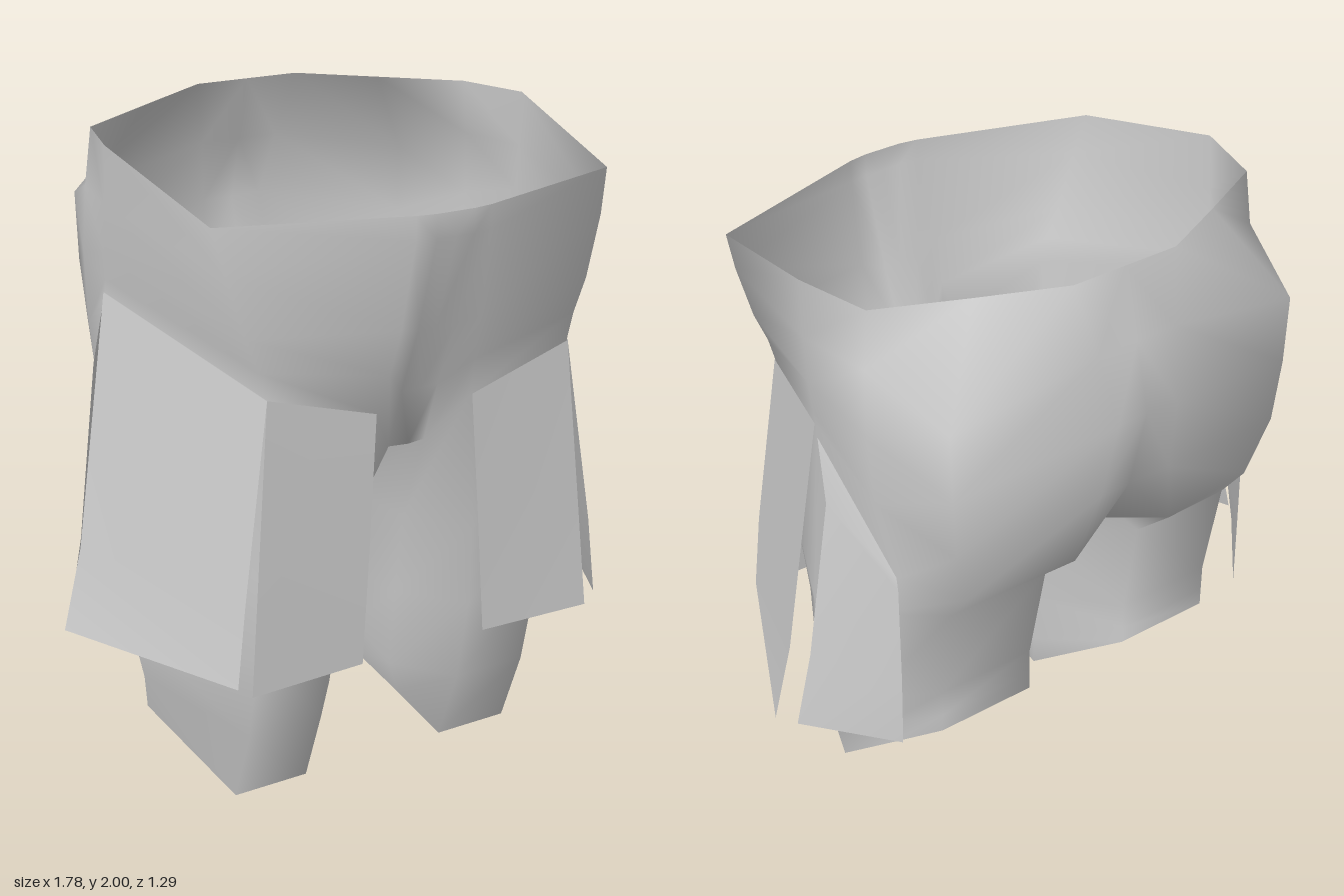
import * as THREE from 'three';
import { mergeVertices } from 'three/addons/utils/BufferGeometryUtils.js';

// Skin a list of rows (each a list of points) with outward-facing quads
function skin(rows, closed = false) {
  const tris = [];
  for (let r = 0; r < rows.length - 1; r++) {
    const n = rows[r].length;
    for (let c = 0; c < (closed ? n : n - 1); c++) {
      const a = rows[r][c], b = rows[r][(c + 1) % n];
      const d = rows[r + 1][c], e = rows[r + 1][(c + 1) % n];
      tris.push([a, d, b], [b, d, e]);
    }
  }
  return tris;
}

// Mirror triangles across x = 0, keeping their outside facing out
const mirror = (tris) => tris.map(([a, b, c]) => [a, c, b].map(([x, y, z]) => [-x, y, z]));

// Smooth geometry with shared vertices
function toGeometry(tris) {
  const g = new THREE.BufferGeometry();
  g.setAttribute('position', new THREE.Float32BufferAttribute(tris.flat(2), 3));
  const merged = mergeVertices(g, 1e-4);
  merged.computeVertexNormals();
  return merged;
}

export function createModel() {
  const group = new THREE.Group();
  const grey = new THREE.MeshStandardMaterial({ color: 0xcccccc, side: THREE.DoubleSide });
  grey.name = 'grey cloth';

  const add = (name, tris) => {
    const mesh = new THREE.Mesh(toGeometry(tris), grey);
    mesh.name = name;
    group.add(mesh);
  };

  // Hips, left half: rows from waist to hem, columns from front centre to back centre
  const hem = [[0, 1.11, 0.42], [0.06, 1.11, 0.41], [0.16, 1.26, 0.5], [0.5, 1.36, 0.49],
    [0.7, 1.53, -0.09], [0.62, 1.13, -0.35], [0.5, 1.11, -0.52], [0.17, 1.12, -0.565], [0, 1.13, -0.46]];
  const hips = [
    [[0, 1.85, 0.64], [0.06, 1.85, 0.64], [0.12, 1.85, 0.63], [0.64, 1.85, 0.46],
      [0.7, 1.97, -0.05], [0.64, 1.97, -0.28], [0.4, 1.985, -0.41], [0.17, 2, -0.53], [0, 2, -0.53]],
    [[0, 1.78, 0.64], [0.06, 1.78, 0.64], [0.12, 1.78, 0.63], [0.61, 1.72, 0.48],
      [0.705, 1.8, -0.06], [0.66, 1.8, -0.29], [0.58, 1.71, -0.56], [0.13, 1.8, -0.59], [0, 1.8, -0.59]],
    [[0, 1.5, 0.555], [0.06, 1.5, 0.555], [0.13, 1.52, 0.58], [0.56, 1.54, 0.49],
      [0.705, 1.66, -0.07], [0.67, 1.6, -0.3], [0.575, 1.5, -0.56], [0.1, 1.6, -0.65], [0, 1.6, -0.645]],
    [[0, 1.3, 0.48], [0.06, 1.3, 0.475], [0.14, 1.38, 0.54], [0.52, 1.44, 0.49],
      [0.703, 1.58, -0.08], [0.66, 1.38, -0.31], [0.56, 1.3, -0.55], [0.12, 1.35, -0.61], [0, 1.33, -0.585]],
    hem,
  ];

  // Leg: rings from hem to slanted opening
  const crotchSide = [0.07, 1.11, 0];
  const leg = [
    [...hem.slice(1, 8), crotchSide],
    [[0.095, 0.8, 0.25], [0.22, 0.8, 0.44], [0.5, 0.8, 0.44], [0.7, 0.85, -0.01],
      [0.65, 0.95, -0.26], [0.5, 0.99, -0.43], [0.17, 0.99, -0.43], [0.09, 0.77, -0.04]],
    [[0.1, 0.52, 0.2], [0.24, 0.53, 0.4], [0.49, 0.53, 0.4], [0.7, 0.52, 0],
      [0.65, 0.58, -0.2], [0.5, 0.65, -0.37], [0.18, 0.65, -0.37], [0.09, 0.5, -0.03]],
    [[0.11, 0.25, 0.16], [0.245, 0.25, 0.34], [0.49, 0.25, 0.34], [0.66, 0.33, -0.01],
      [0.59, 0.45, -0.2], [0.5, 0.56, -0.37], [0.18, 0.56, -0.37], [0.09, 0.32, -0.03]],
    [[0.17, 0.11, 0.11], [0.245, 0, 0.245], [0.49, 0, 0.245], [0.645, 0.22, -0.03],
      [0.575, 0.36, -0.2], [0.5, 0.5, -0.37], [0.18, 0.5, -0.37], [0.09, 0.22, -0.03]],
  ];

  // Strip between the legs
  const front = hem[0], crotchFront = hem[1], backIn = hem[7], back = hem[8];
  const middle = [0, 1.11, 0];
  const crotch = [
    [front, middle, crotchSide], [front, crotchSide, crotchFront],
    [middle, back, backIn], [middle, backIn, crotchSide],
  ];

  const half = [...skin(hips), ...skin(leg, true), ...crotch];
  add('trousers', [...half, ...mirror(half)]);

  // Hanging skirt panels, rows from top to bottom
  const panels = {
    FrontPanel: [[[0.16, 1.26, 0.505], [0.5, 1.36, 0.495]],
      [[0.185, 0.88, 0.515], [0.54, 0.93, 0.515]],
      [[0.21, 0.5, 0.52], [0.58, 0.5, 0.535]]],
    SidePanel: [[[0.5, 1.36, 0.495], [0.705, 1.54, -0.09]],
      [[0.59, 0.78, 0.52], [0.825, 0.78, -0.065]],
      [[0.62, 0.53, 0.525], [0.89, 0.53, -0.06]]],
    RearPanel: [[[0.705, 1.5, -0.1], [0.63, 1.14, -0.355]],
      [[0.72, 1.31, -0.15], [0.632, 1.1, -0.365]],
      [[0.795, 0.78, -0.13], [0.635, 0.78, -0.37]],
      [[0.85, 0.53, -0.12], [0.64, 0.53, -0.37]]],
  };
  for (const [name, rows] of Object.entries(panels)) {
    const tris = skin(rows);
    add('left' + name, tris);
    add('right' + name, mirror(tris));
  }
  return group;
}
